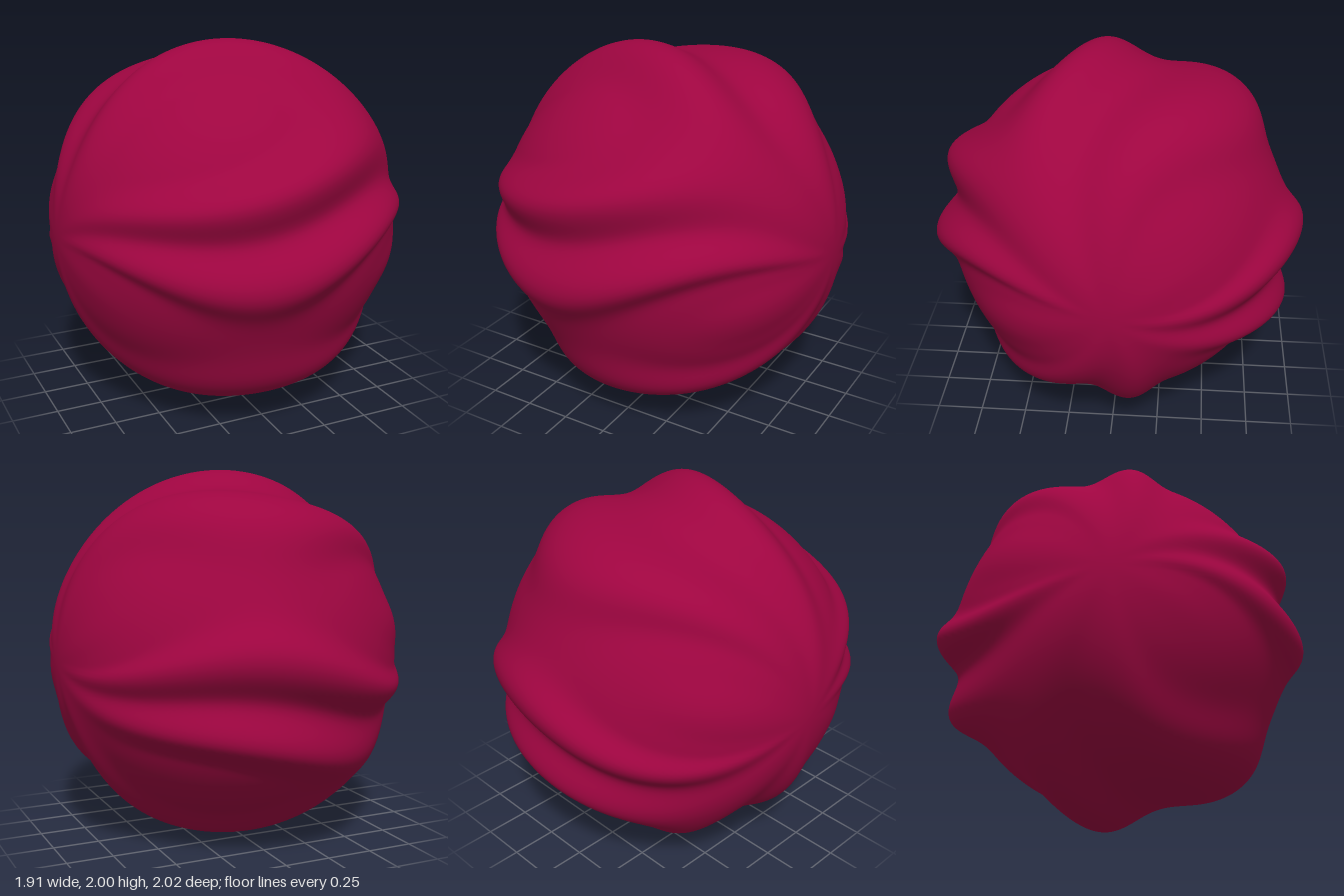
import * as THREE from 'three';
import { mergeVertices } from 'three/addons/utils/BufferGeometryUtils.js';

// Radius of the rippled ball along the unit direction (x, y, z).
// The ripple is a sine of a smooth even phase, so opposite sides match.
function rippleRadius(x, y, z) {
  const fade = 1 - x * x; // ripples die out towards the two sides
  const turn = 2 * Math.atan2(y, z); // angle around the side-to-side axis, doubled
  let phase = 5.2
    - 1.96 * Math.cos(turn) + 4.9 * Math.sin(turn)
    - 0.95 * Math.cos(2 * turn) + 0.3 * Math.sin(2 * turn)
    - 3.2 * x * y - 2.8 * x * z - 3.3 * x * x;
  phase -= 0.8 * Math.exp(-phase * phase); // deepen the lowest groove
  phase = Math.min(phase, 3.5 * Math.PI); // flat floor in the main hollow
  return 0.957 + 0.054 * fade * Math.sin(phase);
}

export function createModel() {
  const group = new THREE.Group();
  group.name = 'rippledBall';

  // Evenly divided sphere with shared vertices, for smooth normals
  let geometry = new THREE.IcosahedronGeometry(1, 48);
  geometry.deleteAttribute('normal');
  geometry.deleteAttribute('uv');
  geometry = mergeVertices(geometry, 1e-5);

  // Push every vertex along its direction to form the ridges and grooves
  const position = geometry.attributes.position;
  const p = new THREE.Vector3();
  for (let i = 0; i < position.count; i++) {
    p.fromBufferAttribute(position, i).normalize();
    p.multiplyScalar(rippleRadius(p.x, p.y, p.z));
    position.setXYZ(i, p.x, p.y, p.z);
  }

  // Stand the ball on the floor
  geometry.computeBoundingBox();
  geometry.translate(0, -geometry.boundingBox.min.y, 0);
  geometry.computeVertexNormals();

  const ball = new THREE.Mesh(geometry, new THREE.MeshStandardMaterial({ color: 0x9e0540 }));
  ball.name = 'ball';
  group.add(ball);
  return group;
}
